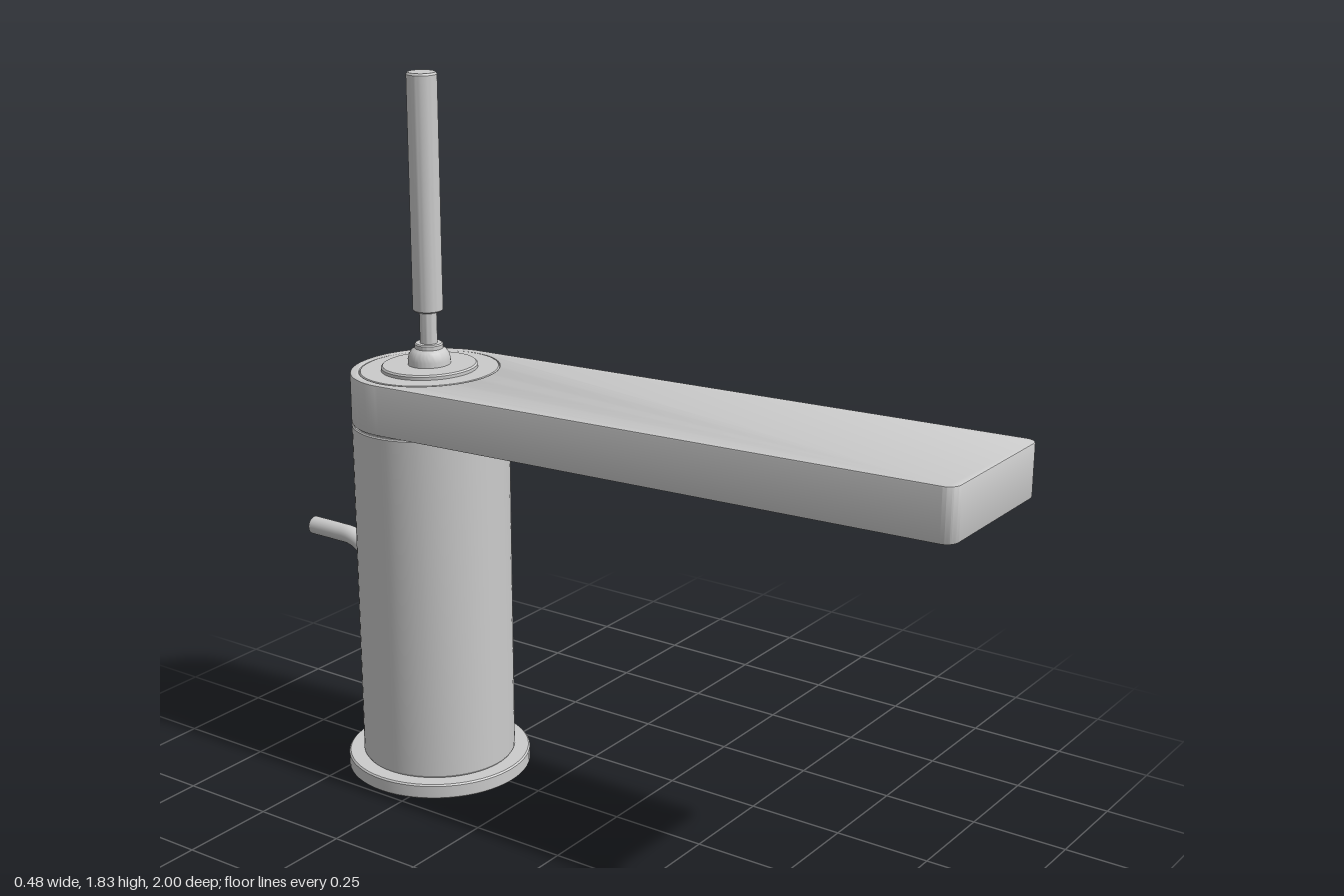
import * as THREE from 'three';
import { toCreasedNormals } from 'three/addons/utils/BufferGeometryUtils.js';

const AXIS_Z = -0.58;   // axis of the column
const SLOPE = 0.0337;   // rise of the spout towards its tip
const UNDER = 0.976;    // spout underside at z = 0
const THICK = 0.13;

export function createModel() {
  const model = new THREE.Group();
  const metal = new THREE.MeshStandardMaterial({ color: 0xcccccc });

  function add(name, geometry, parent = model) {
    const mesh = new THREE.Mesh(geometry, metal);
    mesh.name = name;
    parent.add(mesh);
    return mesh;
  }

  // Shears a geometry along the spout slope, only above the given height
  function tilt(geometry, above = -Infinity) {
    const p = geometry.attributes.position;
    for (let i = 0; i < p.count; i++) {
      if (p.getY(i) > above) p.setY(i, p.getY(i) + SLOPE * p.getZ(i));
    }
    return geometry;
  }

  // Turned part from [radius, height] pairs, listed bottom to top
  function turned(profile, z = AXIS_Z, segments = 64) {
    const points = profile.map(([r, y]) => new THREE.Vector2(r, y));
    return new THREE.LatheGeometry(points, segments).translate(0, 0, z);
  }
  const crease = (g) => toCreasedNormals(g, 0.45);

  // Base flange and column, with the column top cut parallel to the spout
  add('baseFlange', crease(turned([
    [0, 0], [0.236, 0], [0.24, 0.004], [0.24, 0.036], [0.236, 0.04], [0, 0.04],
  ])));
  add('column', crease(tilt(turned([
    [0.195, 0.038], [0.2, 0.046], [0.2, UNDER - 0.007], [0.197, UNDER - 0.004],
    [0.193, UNDER - 0.004], [0.193, UNDER + 0.03], [0, UNDER + 0.03],
  ]), 0.5)));

  // Spout: rounded at the column, small corner radii at the tip
  const w = 0.2, c = 0.03;
  const plan = new THREE.Shape();
  plan.moveTo(-w + c, -1);
  plan.lineTo(w - c, -1);
  plan.absarc(w - c, -1 + c, c, -Math.PI / 2, 0, false);
  plan.lineTo(w, -AXIS_Z);
  plan.absarc(0, -AXIS_Z, w, 0, Math.PI, false);
  plan.lineTo(-w, -1 + c);
  plan.absarc(-w + c, -1 + c, c, Math.PI, Math.PI * 1.5, false);
  const opening = new THREE.Path();
  opening.absarc(0, -AXIS_Z, 0.177, 0, Math.PI * 2, true);
  plan.holes.push(opening);
  const bevel = 0.004;
  const spout = new THREE.ExtrudeGeometry(plan, {
    depth: THICK - 2 * bevel, curveSegments: 32,
    bevelSize: bevel, bevelThickness: bevel, bevelOffset: -bevel, bevelSegments: 2,
  });
  spout.rotateX(-Math.PI / 2).translate(0, UNDER + bevel, 0);
  add('spout', crease(tilt(spout)));

  // Cover inside the spout opening and the raised disc on it
  const top = UNDER + THICK;
  add('cover', crease(tilt(turned([
    [0.177, UNDER + 0.02], [0.177, top - 0.004], [0.174, top], [0, top],
  ]))));
  add('coverDisc', crease(tilt(turned([
    [0.122, top - 0.002], [0.122, top + 0.008], [0.118, top + 0.012], [0, top + 0.012],
  ]))));

  // Lever: domed pivot, thin stem and long round grip
  const lever = new THREE.Group();
  lever.name = 'lever';
  model.add(lever);
  add('pivot', crease(turned([
    [0.054, 1.09], [0.054, 1.112], [0.051, 1.124], [0.045, 1.134], [0.036, 1.14],
    [0.036, 1.15], [0.033, 1.153], [0, 1.153],
  ])), lever);
  add('stem', crease(turned([[0.022, 1.14], [0.022, 1.24]], AXIS_Z, 32)), lever);
  add('grip', crease(turned([
    [0, 1.235], [0.034, 1.235], [0.038, 1.239], [0.038, 1.825], [0.034, 1.83], [0, 1.83],
  ], AXIS_Z, 40)), lever);

  // Outlet under the tip, with a recessed strainer
  const outlet = new THREE.Group();
  outlet.name = 'outlet';
  outlet.position.set(0, 1.004, 0.845);
  outlet.rotation.x = -SLOPE;
  model.add(outlet);
  add('outletRim', crease(turned([
    [0, -0.018], [0.046, -0.018], [0.05, -0.029], [0.06, -0.029], [0.066, -0.022],
    [0.068, -0.012], [0.084, -0.01], [0.086, 0.006],
  ], 0, 48)), outlet);
  for (const [radius, count] of [[0.016, 6], [0.033, 12]]) {
    for (let i = 0; i < count; i++) {
      const a = (i / count) * Math.PI * 2;
      const nub = new THREE.CylinderGeometry(0.005, 0.004, 0.006, 10);
      nub.translate(Math.cos(a) * radius, -0.02, Math.sin(a) * radius);
      add('strainerNub', crease(nub), outlet);
    }
  }

  // Bent drain rod at the back
  const bend = new THREE.CatmullRomCurve3([
    [0.36, -0.742], [0.44, -0.77], [0.515, -0.798], [0.556, -0.825], [0.574, -0.865],
    [0.576, -0.91], [0.576, -1],
  ].map(([y, z]) => new THREE.Vector3(0, y, z)));
  add('drainRod', new THREE.TubeGeometry(bend, 48, 0.024, 24));
  add('drainRodEnd', new THREE.CircleGeometry(0.024, 24).rotateY(Math.PI).translate(0, 0.576, -1));

  return model;
}
